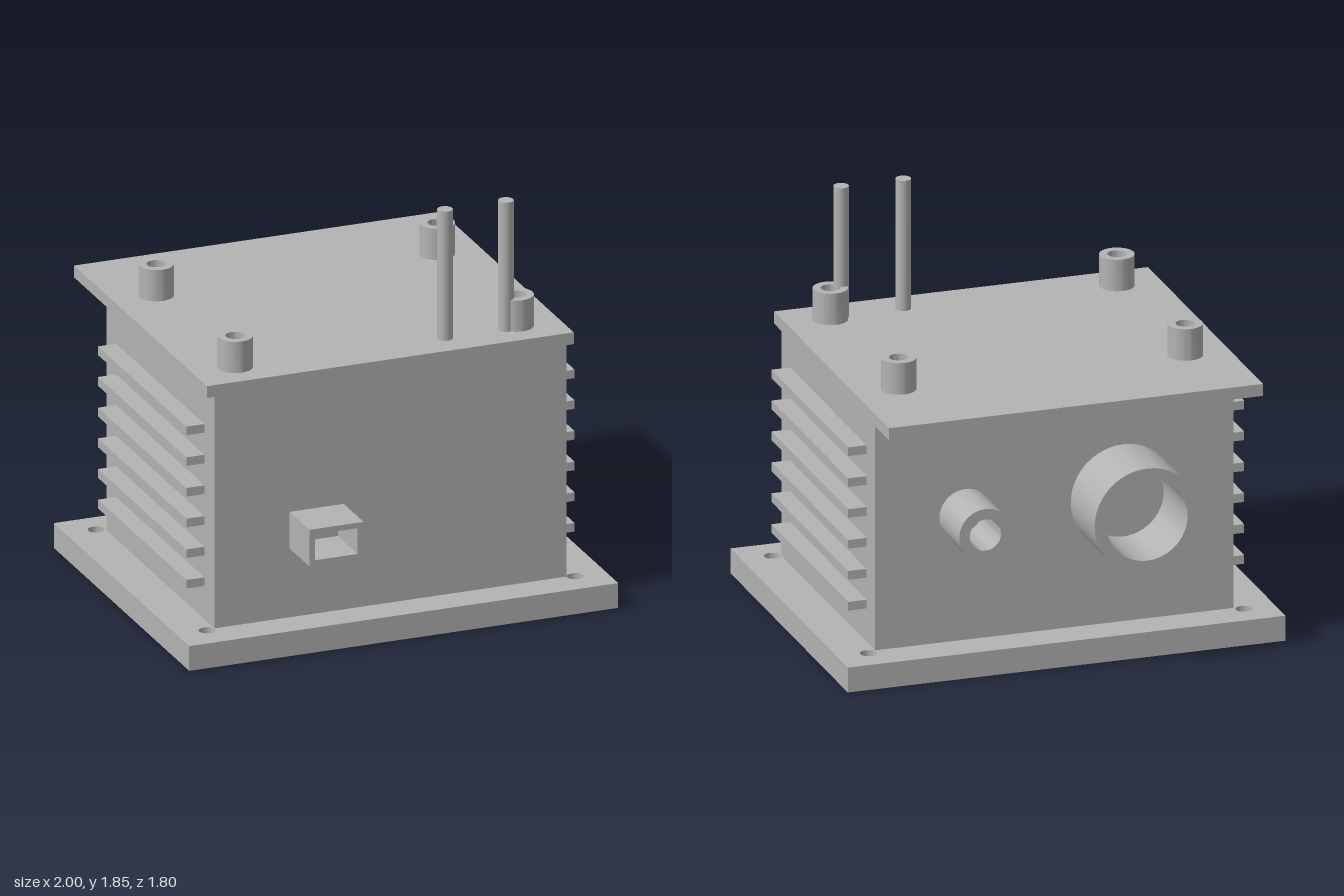
import * as THREE from 'three';
import { toCreasedNormals } from 'three/addons/utils/BufferGeometryUtils.js';

export function createModel() {
  const model = new THREE.Group();
  model.name = 'instrumentHousing';
  const grey = new THREE.MeshStandardMaterial({ color: 0xb3b3b3 });
  grey.name = 'metal grey';

  const add = (name, geometry) => {
    const mesh = new THREE.Mesh(geometry, grey);
    mesh.name = name;
    model.add(mesh);
    return mesh;
  };
  // Box given by its limits on each axis
  const box = (name, x0, x1, y0, y1, z0, z1) =>
    add(name, new THREE.BoxGeometry(x1 - x0, y1 - y0, z1 - z0))
      .position.set((x0 + x1) / 2, (y0 + y1) / 2, (z0 + z1) / 2);
  const rect = (Type, x0, x1, y0, y1) => new Type().moveTo(x0, y0).lineTo(x1, y0).lineTo(x1, y1).lineTo(x0, y1).closePath();
  const circle = (Type, x, y, r) => new Type().absarc(x, y, r, 0, Math.PI * 2, false);
  // Straight extrusion along +z with sharp rims and smooth round walls
  const extrude = (shape, depth) => toCreasedNormals(
    new THREE.ExtrudeGeometry(shape, { depth, bevelEnabled: false, curveSegments: 24 }), 0.6);
  const tube = (outer, inner, length) => {
    const ring = circle(THREE.Shape, 0, 0, outer);
    ring.holes.push(circle(THREE.Path, 0, 0, inner));
    return extrude(ring, length);
  };

  // Mounting base with four bolt holes
  const plate = rect(THREE.Shape, -1, 1, -0.825, 0.745);
  for (const x of [-0.858, 0.858])
    for (const z of [-0.605, 0.68]) plate.holes.push(circle(THREE.Path, x, -z, 0.037));
  add('basePlate', extrude(plate, 0.115).rotateX(-Math.PI / 2));

  // Main body and overhanging lid
  box('body', -0.82, 0.82, 0.115, 1.19, -0.58, 0.67);
  box('lid', -0.855, 0.855, 1.19, 1.245, -0.87, 0.67);

  // Cooling fins on both sides
  for (const side of [-1, 1])
    for (let i = 0; i < 6; i++) {
      const y = 0.29 + i * 0.1425;
      box('coolingFin', Math.min(side * 0.82, side * 0.905), Math.max(side * 0.82, side * 0.905),
        y - 0.02, y + 0.02, -0.47, 0.555);
    }

  // Hollow standoffs on the lid
  for (const x of [-0.655, 0.655])
    for (const z of [-0.415, 0.5])
      add('standoff', tube(0.077, 0.042, 0.145).rotateX(-Math.PI / 2)).position.set(x, 1.245, z);

  // Upright rods
  for (const x of [0.313, 0.597])
    add('rod', new THREE.CylinderGeometry(0.034, 0.034, 0.6, 40)).position.set(x, 1.545, 0.525);

  // Rectangular socket on the front
  const socket = rect(THREE.Shape, -0.47, -0.217, 0.435, 0.605);
  socket.holes.push(rect(THREE.Path, -0.445, -0.245, 0.46, 0.58));
  add('frontSocket', extrude(socket, 0.23)).position.z = 0.67;

  // Round ports on the back
  add('largePort', tube(0.24, 0.185, 0.32)).position.set(-0.315, 0.69, -0.9);
  add('smallPort', tube(0.12, 0.072, 0.265)).position.set(0.405, 0.69, -0.845);

  return model;
}
